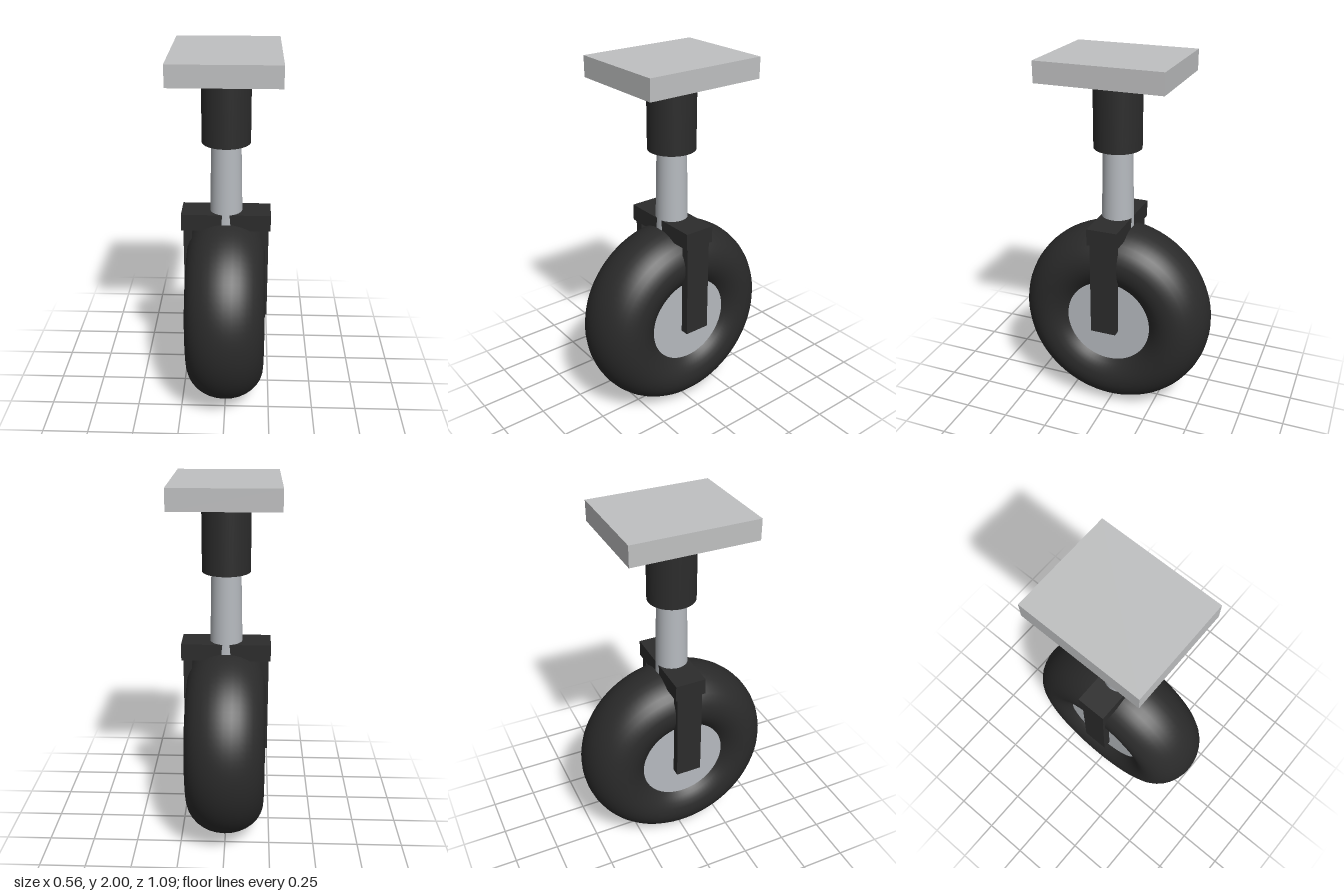
import * as THREE from 'three';

const paint = (name, color) => {
  const m = new THREE.MeshStandardMaterial({ color });
  m.name = name;
  return m;
};

export function createModel() {
  const group = new THREE.Group();
  const plateGrey = paint('light grey', 0xbfc0c1);
  const metal = paint('brushed metal', 0xb6babf);
  const dark = paint('dark metal', 0x2c2c2c);
  const rubber = paint('rubber', 0x2a2a2a);

  const add = (name, geometry, material, x, y, z = 0) => {
    const mesh = new THREE.Mesh(geometry, material);
    mesh.name = name;
    mesh.position.set(x, y, z);
    group.add(mesh);
    return mesh;
  };
  const box = (name, w, y0, y1, d, material, x = 0) =>
    add(name, new THREE.BoxGeometry(w, y1 - y0, d), material, x, (y0 + y1) / 2);
  const post = (name, rTop, rBottom, y0, y1, material) =>
    add(name, new THREE.CylinderGeometry(rTop, rBottom, y1 - y0, 48), material, 0, (y0 + y1) / 2);

  // Mounting plate, sleeve and slightly tapered piston
  box('mountingPlate', 0.556, 1.89, 2, 0.672, plateGrey);
  post('sleeve', 0.129, 0.129, 1.52, 1.89, dark);
  post('piston', 0.078, 0.089, 1.05, 1.6, metal);

  // Fork: crossbar and two side arms
  box('forkCrossbar', 0.482, 1.043, 1.135, 0.17, dark);
  for (const side of [-1, 1]) {
    box(side > 0 ? 'leftForkArm' : 'rightForkArm', 0.046, 0.512, 1.05, 0.144, dark, side * 0.208);
  }

  // Wheel: tyre widened along its axle, with a flat hub
  const wheelY = 0.543;
  const tyre = new THREE.TorusGeometry(0.365, 0.178, 32, 80);
  tyre.rotateY(Math.PI / 2).scale(0.215 / 0.178, 1, 1);
  add('tyre', tyre, rubber, 0, wheelY);

  const hub = new THREE.CylinderGeometry(0.25, 0.25, 0.312, 64);
  hub.rotateZ(Math.PI / 2);
  add('hub', hub, metal, 0, wheelY);

  return group;
}
